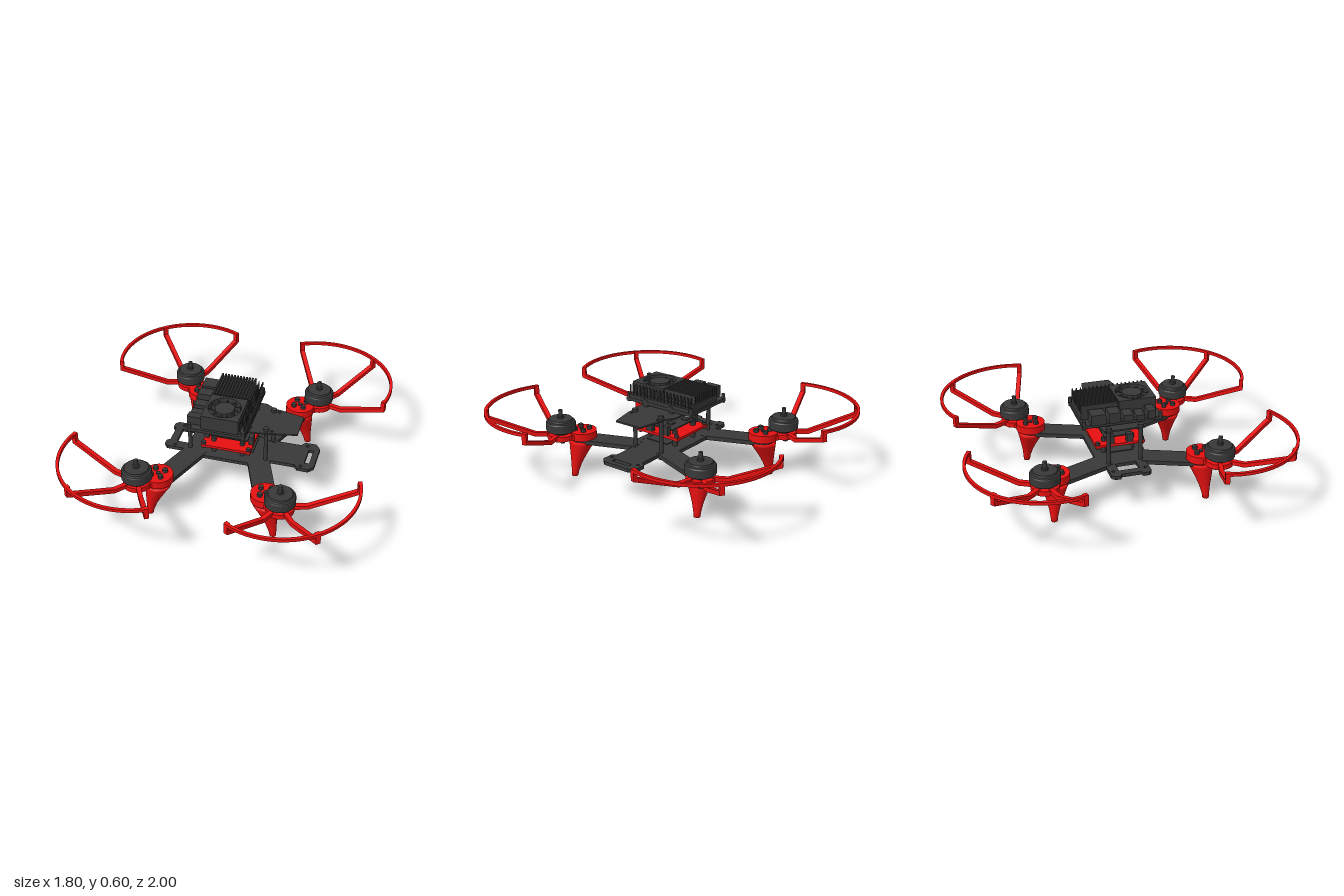
import * as THREE from 'three';

const dark = new THREE.MeshStandardMaterial({ color: 0x383838 });
const red = new THREE.MeshStandardMaterial({ color: 0xe81010 });

export function createModel() {
  const model = new THREE.Group();
  model.name = 'quadcopter';

  const add = (parent, name, geo, mat, x = 0, y = 0, z = 0, turn = 0) => {
    const m = new THREE.Mesh(geo, mat);
    m.name = name;
    m.position.set(x, y, z);
    m.rotation.y = -turn; // turn goes from +x towards +z
    parent.add(m);
    return m;
  };
  const box = (p, name, mat, x0, x1, y0, y1, z0, z1) =>
    add(p, name, new THREE.BoxGeometry(x1 - x0, y1 - y0, z1 - z0), mat, (x0 + x1) / 2, (y0 + y1) / 2, (z0 + z1) / 2);
  const rod = (p, name, mat, r, x, z, y0, y1, sides = 16) =>
    add(p, name, new THREE.CylinderGeometry(r, r, y1 - y0, sides), mat, x, (y0 + y1) / 2, z);
  const poly = (pts) => new THREE.Shape(pts.map(([x, z]) => new THREE.Vector2(x, z)));
  const rect = (x0, x1, z0, z1) => poly([[x0, z0], [x1, z0], [x1, z1], [x0, z1]]);
  const circle = (x, z, r) => new THREE.Path().absarc(x, z, r, 0, Math.PI * 2, true);
  // Horizontal plate: shape (x, z) between heights y0 and y1
  const plate = (shape, y0, y1) => new THREE.ExtrudeGeometry(shape, { depth: y1 - y0, bevelEnabled: false, curveSegments: 32 })
    .rotateX(Math.PI / 2).translate(0, y1, 0);
  const lathe = (pts, n = 40) => new THREE.LatheGeometry(pts.map(([r, y]) => new THREE.Vector2(r, y)), n);
  const corners = (fn) => [-1, 1].forEach((sx) => [-1, 1].forEach((sz) => fn(sx, sz)));

  // Bottom plate, with a cut-out at one end and a slot at the other
  const base = poly([[-0.385, -0.125], [-0.2, -0.125], [-0.15, -0.16], [0.15, -0.16], [0.22, -0.1], [0.42, -0.1],
    [0.44, -0.13], [0.51, -0.13], [0.54, -0.09], [0.54, 0.09], [0.51, 0.125], [0.44, 0.125], [0.42, 0.1],
    [0.22, 0.1], [0.15, 0.16], [-0.15, 0.16], [-0.2, 0.125], [-0.385, 0.125], [-0.405, 0.105],
    [-0.405, 0.07], [-0.385, 0.06], [-0.385, -0.06], [-0.405, -0.07], [-0.405, -0.105]]);
  base.holes.push(rect(-0.34, -0.26, -0.065, 0.065), rect(0.475, 0.505, -0.065, 0.065), circle(0, 0, 0.03));
  corners((sx, sz) => base.holes.push(circle(sx < 0 ? -0.34 : 0.46, sz * 0.1, 0.01)));
  add(model, 'bottomPlate', plate(base, 0.228, 0.25), dark);

  // Upper plate with its tapered end
  const upper = poly([[-0.25, -0.125], [-0.2, -0.14], [0.14, -0.165], [0.18, -0.165], [0.25, -0.125], [0.27, -0.125],
    [0.43, -0.09], [0.43, 0.09], [0.27, 0.125], [0.25, 0.125], [0.18, 0.14], [-0.2, 0.14], [-0.25, 0.125]]);
  corners((sx, sz) => sx > 0 && upper.holes.push(circle(0.275, sz * 0.1, 0.009)));
  add(model, 'upperPlate', plate(upper, 0.465, 0.475), dark);

  corners((sx, sz) => {
    rod(model, 'standoff', dark, 0.013, sx * 0.24, sz * 0.1, 0.25, 0.465, 12);
    rod(model, 'standoffScrewTop', dark, 0.017, sx * 0.24, sz * 0.1, 0.475, 0.492);
    rod(model, 'standoffScrewBottom', dark, 0.017, sx * 0.24, sz * 0.1, 0.213, 0.228);
  });

  // Control electronics between the plates
  const stack = new THREE.Group();
  stack.name = 'electronicsStack';
  model.add(stack);
  box(stack, 'lowerBoard', dark, -0.155, 0.155, 0.27, 0.277, -0.08, 0.08);
  box(stack, 'redBoard', red, -0.155, 0.155, 0.312, 0.328, -0.155, 0.155);
  box(stack, 'sensorBoard', dark, -0.11, 0.12, 0.352, 0.36, -0.09, 0.09);
  corners((sx, sz) => {
    rod(stack, 'stackPost', dark, 0.016, sx * 0.09, sz * 0.09, 0.215, 0.35, 12);
    rod(stack, 'cornerPost', dark, 0.014, sx * 0.14, sz * 0.14, 0.303, 0.345, 12);
    box(stack, 'cornerConnector', dark, sx * 0.14 - 0.015, sx * 0.14 + 0.015, 0.328, 0.385, sz * 0.06 - 0.02, sz * 0.06 + 0.02);
  });
  [[-0.07, -0.05], [-0.02, 0.03], [0.04, -0.02], [0.08, 0.05]].forEach(([x, z], i) =>
    box(stack, 'chip', dark, x - 0.02, x + 0.02, 0.36, 0.368 + 0.005 * (i % 2), z - 0.02, z + 0.02));

  // Onboard computer with heatsink, fan, ports and pin header
  const computer = new THREE.Group();
  computer.name = 'computer';
  model.add(computer);
  box(computer, 'board', dark, -0.21, 0.145, 0.488, 0.508, -0.25, 0.245);
  [-0.06, 0.13].forEach((x) => [-0.095, 0.1].forEach((z) => rod(computer, 'boardMount', dark, 0.018, x, z, 0.45, 0.52)));
  [-0.24, 0.235].forEach((z) => [-0.2, 0.132].forEach((x) => rod(computer, 'boardScrew', dark, 0.012, x, z, 0.48, 0.535)));
  box(computer, 'underModule', dark, -0.14, 0.1, 0.475, 0.49, -0.15, 0.2);
  box(computer, 'heatsinkBase', dark, -0.13, 0.1, 0.508, 0.55, -0.24, 0.23);
  for (let i = 0; i < 12; i++) {
    const x = -0.125 + i * 0.0192;
    box(computer, 'heatsinkFin', dark, x - 0.005, x + 0.005, 0.55, 0.6, -0.24, -0.01);
  }
  const fanFrame = rect(-0.13, 0.1, -0.005, 0.23);
  fanFrame.holes.push(circle(-0.015, 0.11, 0.1));
  add(computer, 'fanFrame', plate(fanFrame, 0.55, 0.6), dark);
  rod(computer, 'fanHub', dark, 0.06, -0.015, 0.11, 0.55, 0.598, 32);
  for (let i = 0; i < 11; i++) {
    const a = (i * Math.PI * 2) / 11;
    add(computer, 'fanBlade', new THREE.BoxGeometry(0.04, 0.035, 0.008), dark,
      -0.015 + 0.077 * Math.cos(a), 0.57, 0.11 + 0.077 * Math.sin(a), a + 0.4);
  }
  for (let i = 0; i < 18; i++) {
    const z = -0.225 + i * 0.0262;
    box(computer, 'headerPin', dark, 0.108, 0.113, 0.508, 0.59, z - 0.004, z + 0.004);
    box(computer, 'headerPin', dark, 0.131, 0.136, 0.508, 0.59, z - 0.004, z + 0.004);
  }
  box(computer, 'pinHeader', dark, 0.102, 0.142, 0.508, 0.53, -0.23, 0.225);
  [[-0.2, -0.11, 0.575], [-0.09, -0.02, 0.575], [0, 0.06, 0.55], [0.08, 0.13, 0.54], [0.15, 0.2, 0.56]].forEach(([z0, z1, top]) =>
    box(computer, 'port', dark, -0.225, -0.14, 0.508, top, z0, z1));

  // One corner: arm, bracket, leg, motor and propeller guard
  const corner = (sx, sz) => {
    const g = new THREE.Group();
    g.name = (sz > 0 ? 'front' : 'back') + (sx > 0 ? 'Left' : 'Right') + 'Arm';
    model.add(g);
    const at = (x, z) => [sx * x, sz * z];
    const aim = (x, z) => Math.atan2(sz * z, sx * x);
    const [mx, mz] = at(0.33, 0.455); // bracket centre
    const [px, pz] = at(0.435, 0.535); // motor centre

    // Arm with a round end
    const arm = new THREE.Shape();
    arm.moveTo(-0.38, -0.068).lineTo(0, -0.068);
    arm.absarc(0, 0, 0.068, -Math.PI / 2, Math.PI / 2, false);
    arm.lineTo(-0.38, 0.068);
    add(g, 'armPlate', plate(arm, 0.226, 0.252), dark, mx, 0, mz, aim(0.36, 0.93));

    // Tapered leg leaning outwards
    const leg = lathe([[0, 0], [0.02, 0], [0.023, 0.03], [0.033, 0.08], [0.048, 0.13], [0.065, 0.18], [0.078, 0.215],
      [0.082, 0.235], [0, 0.235]], 32);
    const pos = leg.attributes.position;
    for (let i = 0; i < pos.count; i++) {
      const lean = 1 - Math.min(1, pos.getY(i) / 0.225) ** 1.4;
      pos.setX(i, pos.getX(i) + sx * 0.055 * lean);
      pos.setZ(i, pos.getZ(i) + sz * 0.022 * lean);
    }
    leg.computeVertexNormals();
    add(g, 'leg', leg, red, mx, 0, mz);

    // Bracket joining the arm to the motor seat
    const reach = Math.hypot(px - mx, pz - mz);
    const link = new THREE.Shape();
    link.absarc(0, 0, 0.065, Math.PI / 2, Math.PI * 1.5, false);
    link.absarc(reach, 0, 0.065, -Math.PI / 2, Math.PI / 2, false);
    add(g, 'bracketLink', plate(link, 0.255, 0.282), red, mx, 0, mz, aim(0.105, 0.08));
    rod(g, 'bracketDisc', red, 0.09, mx, mz, 0.25, 0.298, 40);
    rod(g, 'motorSeat', red, 0.085, px, pz, 0.258, 0.29, 40);
    rod(g, 'bracketCentreScrew', dark, 0.014, mx, mz, 0.29, 0.305);
    for (let i = 0; i < 4; i++) {
      const a = aim(0.105, 0.08) + (i * Math.PI) / 2;
      const c = Math.cos(a), s = Math.sin(a);
      rod(g, 'bracketScrew', dark, 0.016, mx + 0.045 * c, mz + 0.045 * s, 0.29, 0.318, 12);
      rod(g, 'seatScrew', dark, 0.015, px + 0.045 * c, pz + 0.045 * s, 0.24, 0.26, 12);
    }

    // Motor
    const motor = [[0, 0.288], [0.05, 0.288], [0.055, 0.305], [0.088, 0.31], [0.092, 0.316], [0.092, 0.362], [0.088, 0.37],
      [0.076, 0.374], [0.072, 0.386], [0.02, 0.388], [0.02, 0.4], [0.013, 0.402], [0.013, 0.44], [0, 0.445]];
    // doubled points keep the edges crisp
    add(g, 'motor', lathe(motor.flatMap((p) => [p, p])).toNonIndexed(), dark, px, 0, pz)
      .geometry.computeVertexNormals();

    // Guard: arc rim on three cranked spokes
    const mid = aim(0.29, 0.35), half = 1.19;
    const rim = new THREE.Shape();
    rim.absarc(0, 0, 0.463, -half, half, false);
    rim.absarc(0, 0, 0.445, half, -half, true);
    add(g, 'guardRim', plate(rim, 0.436, 0.455), red, px, 0, pz, mid);
    const profile = poly([[0.06, 0.27], [0.16, 0.27], [0.463, 0.385], [0.463, 0.455], [0.438, 0.455],
      [0.438, 0.402], [0.155, 0.296], [0.06, 0.296]]);
    [-half + 0.03, 0, half - 0.03].forEach((d) => add(g, 'guardSpoke',
      new THREE.ExtrudeGeometry(profile, { depth: 0.028, bevelEnabled: false }).translate(0, 0, -0.014), red, px, 0, pz, mid + d));
  };
  corners(corner);
  return model;
}
